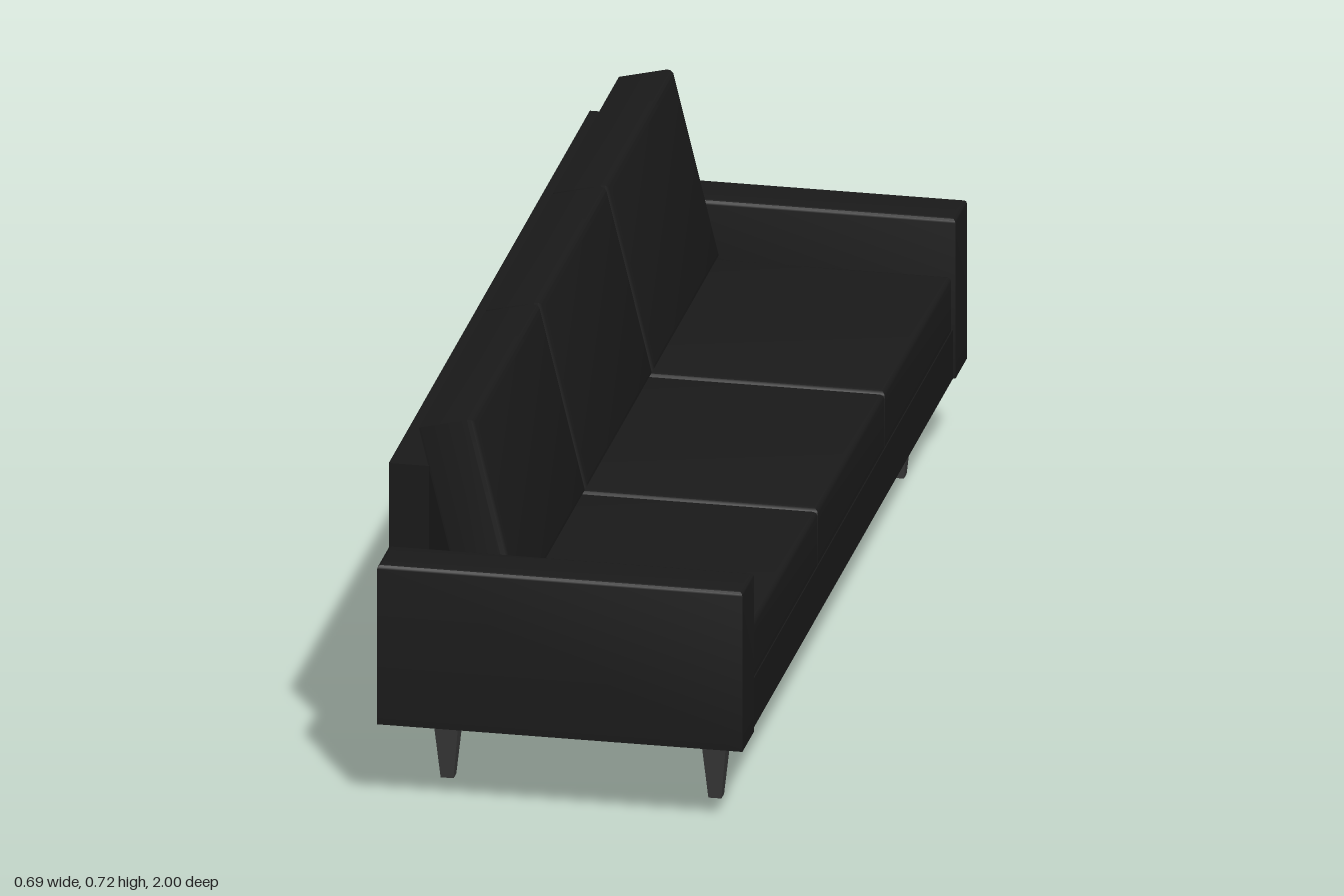
import * as THREE from 'three';
import { toCreasedNormals } from 'three/addons/utils/BufferGeometryUtils.js';

const fabric = new THREE.MeshStandardMaterial({ color: 0x1a1a1a });
const legMaterial = new THREE.MeshStandardMaterial({ color: 0x383838 });

// Block standing on z = 0 whose +z face has softened edges; the z = 0 face stays sharp.
function softBlock(w, h, depth, bevel) {
  const a = w / 2 - bevel, b = h / 2 - bevel;
  const shape = new THREE.Shape([
    new THREE.Vector2(-a, -b), new THREE.Vector2(a, -b),
    new THREE.Vector2(a, b), new THREE.Vector2(-a, b),
  ]);
  const geo = new THREE.ExtrudeGeometry(shape, {
    depth: depth - bevel, bevelEnabled: true,
    bevelSize: bevel, bevelThickness: bevel, bevelSegments: 3,
  });
  const pos = geo.attributes.position;
  for (let i = 0; i < pos.count; i++) if (pos.getZ(i) < 0) pos.setZ(i, 0);
  return toCreasedNormals(geo, 0.7);
}

export function createModel() {
  const sofa = new THREE.Group();
  sofa.name = 'sofa';

  function add(name, geometry, x, y, z, material = fabric) {
    const mesh = new THREE.Mesh(geometry, material);
    mesh.name = name;
    mesh.position.set(x, y, z);
    sofa.add(mesh);
    return mesh;
  }

  // Seat base and low back panel
  add('base', new THREE.BoxGeometry(0.665, 0.095, 1.8), 0, 0.2105, 0);
  add('backPanel', new THREE.BoxGeometry(0.074, 0.467, 1.784), -0.3, 0.3965, 0);

  // Arms, softened around the top
  for (const side of [-1, 1]) {
    const arm = softBlock(0.674, 0.102, 0.309, 0.008).rotateX(-Math.PI / 2);
    add(side > 0 ? 'armRear' : 'armNear', arm, 0, 0.163, side * 0.945).name =
      side > 0 ? 'positiveZArm' : 'negativeZArm';
  }

  // Three seat cushions and three leaning back cushions
  const lean = 0.237;
  for (let i = -1; i <= 1; i++) {
    const z = i * 0.594;
    const seat = softBlock(0.593, 0.588, 0.107, 0.012).rotateX(-Math.PI / 2);
    add('seatCushion', seat, 0.034, 0.258, z);

    const back = softBlock(0.588, 0.37, 0.105, 0.014)
      .rotateY(Math.PI / 2).translate(-0.0525, 0, 0);
    add('backCushion', back, -0.188, 0.534, z).rotation.z = lean;
  }

  // Square tapered legs
  const legGeo = new THREE.CylinderGeometry(0.028 * Math.SQRT2, 0.012 * Math.SQRT2, 0.164, 4)
    .rotateY(Math.PI / 4);
  const flatLeg = toCreasedNormals(legGeo, 0.3);
  for (const x of [-0.244, 0.25])
    for (const z of [-0.81, 0.81]) add('leg', flatLeg, x, 0.082, z, legMaterial);

  // The whole sofa sits very slightly turned
  sofa.rotation.y = -0.008;
  const model = new THREE.Group();
  model.name = 'sofaModel';
  model.add(sofa);
  return model;
}
